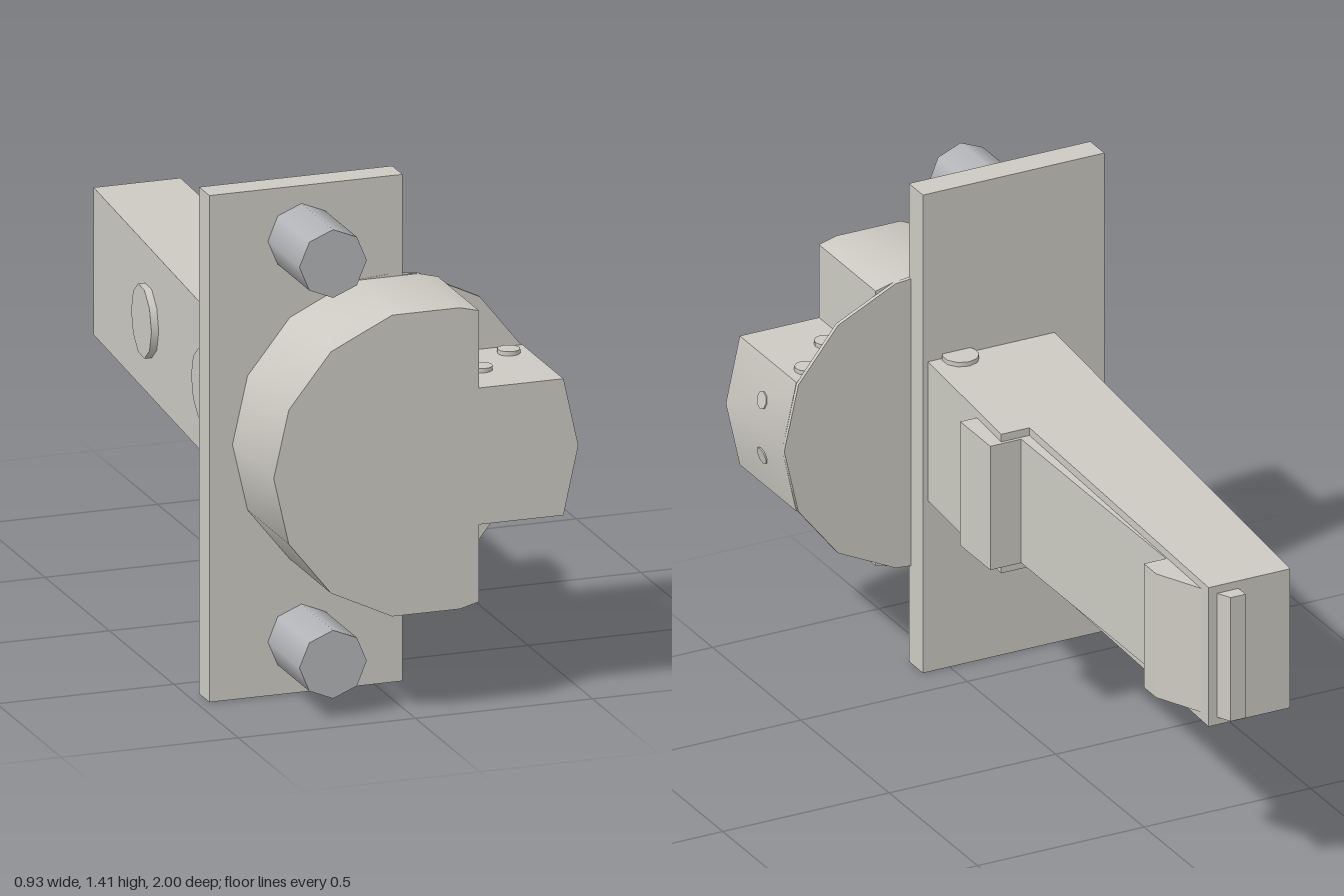
import * as THREE from 'three';
import { toCreasedNormals } from 'three/addons/utils/BufferGeometryUtils.js';

const bodyMaterial = new THREE.MeshStandardMaterial({ color: 0xcccac2 });
const pegMaterial = new THREE.MeshStandardMaterial({ color: 0xb4b5b8 });

const MID = 0.71; // height of the horizontal symmetry plane

export function createModel() {
  const model = new THREE.Group();

  function add(name, geometry, x = 0, y = 0, z = 0, material = bodyMaterial) {
    const mesh = new THREE.Mesh(geometry, material);
    mesh.name = name;
    mesh.position.set(x, y, z);
    model.add(mesh);
    return mesh;
  }

  function extrude(points, depth) {
    const shape = new THREE.Shape(points.map(([x, y]) => new THREE.Vector2(x, y)));
    return new THREE.ExtrudeGeometry(shape, { depth, bevelEnabled: false });
  }

  // Extrudes an outline given as [x, z] upward
  function extrudePlan(points, height) {
    return extrude(points.map(([x, z]) => [x, -z]), height).rotateX(-Math.PI / 2);
  }

  // Mounting plate
  add('plate', new THREE.BoxGeometry(0.545, 1.41, 0.08), -0.1925, 0.705, 0.64);

  // Two pegs on the front of the plate
  for (const y of [0.15, 1.265]) {
    add('peg', new THREE.CylinderGeometry(0.095, 0.095, 0.25, 8).rotateX(Math.PI / 2),
      -0.205, y, 0.8, pegMaterial);
  }

  // Drum: 14-sided, with its two right corners cut away around a side block
  const R = 0.43, CX = 0.03;
  const rim = i => {
    const a = (i / 14) * Math.PI * 2;
    return [CX + R * Math.cos(a), MID + R * Math.sin(a)];
  };
  const cutTop = 1.115, notch = 0.19;
  const drum = [[0.18, cutTop]];
  for (let i = 3; i <= 11; i++) drum.push(rim(i));
  drum.push([0.18, 2 * MID - cutTop], [0.18, MID - notch], [0.418, MID - notch],
    rim(0), [0.418, MID + notch], [0.18, MID + notch]);
  add('drum', toCreasedNormals(extrude(drum, 0.32), 0.55), 0, 0, 0.68);

  // Thin full disc closing the back of the drum
  const disc = [];
  for (let i = 0; i < 14; i++) {
    disc.push(rim(i));
    if (i === 3) disc.push([CX + 0.01, MID + 0.427]);
    if (i === 10) disc.push([CX + 0.01, MID - 0.427]);
  }
  add('drumBack', toCreasedNormals(extrude(disc, 0.012), 0.55), 0, 0, 0.669);

  // Tapered arm, stepped on its left flank
  add('arm', extrudePlan([
    [-0.315, 0.6], [0.065, 0.6], [0.1, 0.12], [0.015, 0.12], [0.05, -0.96], [-0.195, -0.96],
  ], 0.41), 0, MID - 0.205, 0);

  // Inner bar with stop pad, hook and end tab
  add('latchBar', extrudePlan([
    [-0.04, 0.1], [-0.04, -1], [0.005, -1], [0.025, -0.96], [0.045, -0.92],
    [0.112, -0.78], [0.112, -0.71], [0.045, -0.71], [0.045, 0.11], [0.138, 0.11],
    [0.138, 0.28], [0.0, 0.28],
  ], 0.365), 0, MID - 0.1825, 0);

  // Screw heads on the upper and lower faces
  for (const s of [-1, 1]) {
    for (const [x, z] of [[0.24, 0.85], [0.36, 0.735]]) {
      add('blockScrew', new THREE.CylinderGeometry(0.031, 0.031, 0.024, 12), x, MID + s * 0.19, z);
    }
    add('armScrew', new THREE.CylinderGeometry(0.05, 0.05, 0.03, 10), -0.02, MID + s * 0.203, 0.575);
    // Nearly flush screws on the block's end
    const end = add('endScrew', new THREE.CylinderGeometry(0.025, 0.025, 0.02, 8).rotateZ(-Math.PI / 2),
      0.436, MID + s * 0.08, 0.825);
    end.rotation.z = s * 0.22;
  }

  // Round caps on the slanted right flank of the arm
  const slant = Math.atan2(0.12, 1.56);
  for (const z of [-0.42, 0.17]) {
    const x = -0.195 - 0.12 * (z + 0.96) / 1.56;
    const cap = add('armCap', new THREE.CylinderGeometry(0.1, 0.1, 0.04, 10).rotateZ(Math.PI / 2), x, MID, z);
    cap.rotation.y = -slant;
  }

  return model;
}
